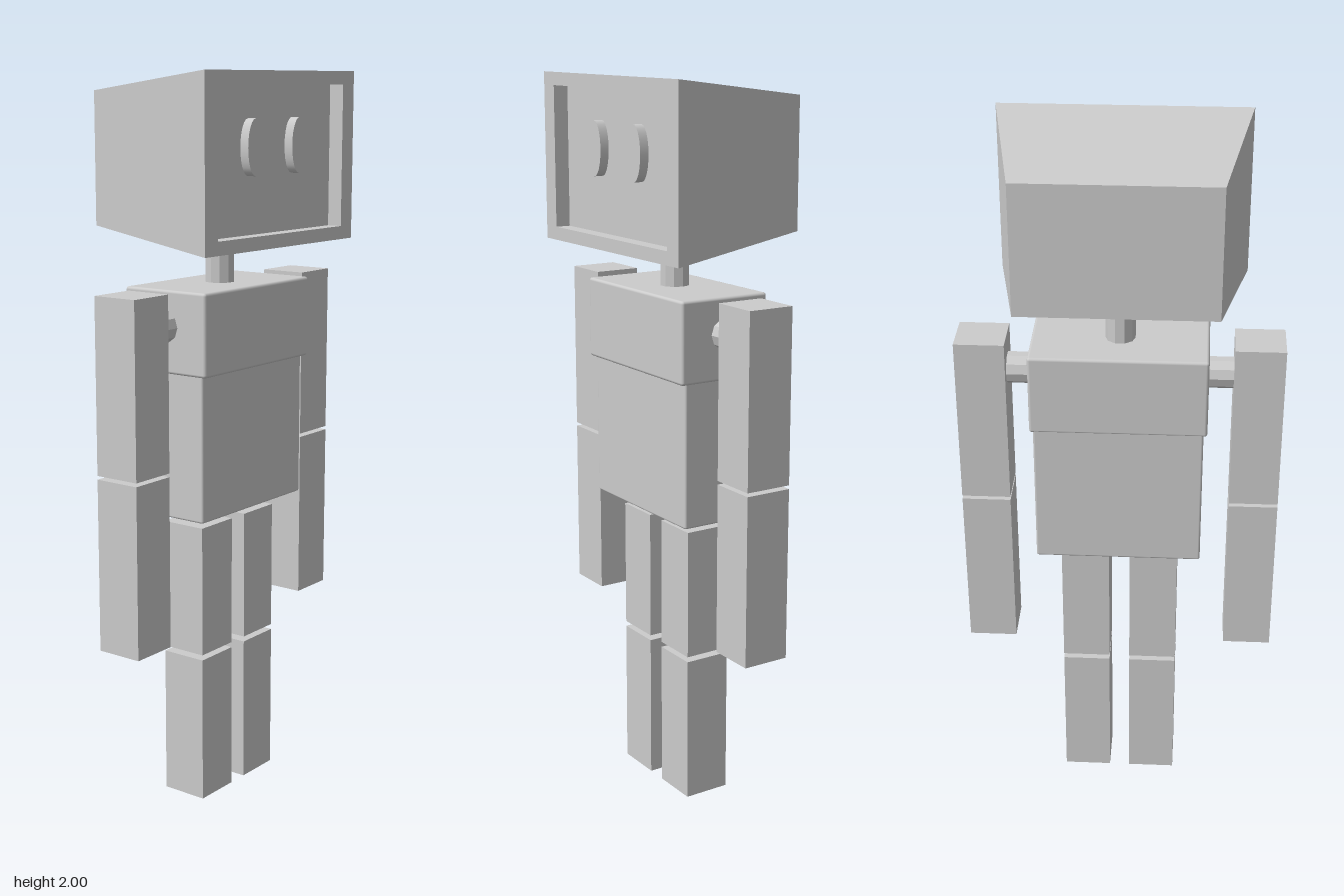
import * as THREE from 'three';
import { RoundedBoxGeometry } from 'three/addons/geometries/RoundedBoxGeometry.js';

const grey = new THREE.MeshStandardMaterial({ color: 0xcccccc });
const flat = new THREE.MeshStandardMaterial({ color: 0xcccccc, flatShading: true });

function add(parent, name, geometry, material, x, y, z) {
  const mesh = new THREE.Mesh(geometry, material);
  mesh.name = name;
  mesh.position.set(x, y, z);
  parent.add(mesh);
  return mesh;
}

// Box spanning y0..y1, with an optional small edge bevel
function block(parent, name, w, y0, y1, d, x, z, bevel = 0) {
  const h = y1 - y0;
  const geometry = bevel
    ? new RoundedBoxGeometry(w, h, d, 2, bevel)
    : new THREE.BoxGeometry(w, h, d);
  return add(parent, name, geometry, grey, x, (y0 + y1) / 2, z);
}

// Rectangular rings [x, halfDepth, y0, y1] joined in order and capped at both ends
function loftRects(rects) {
  const rings = rects.map(([x, z, y0, y1]) => [[x, y0, z], [x, y0, -z], [x, y1, -z], [x, y1, z]]);
  const positions = [];
  const quad = (a, b, c, d) => positions.push(...a, ...b, ...c, ...a, ...c, ...d);
  for (let r = 0; r < rings.length - 1; r++) {
    for (let i = 0; i < 4; i++) {
      const j = (i + 1) % 4;
      quad(rings[r][i], rings[r][j], rings[r + 1][j], rings[r + 1][i]);
    }
  }
  quad(...[...rings[0]].reverse());
  quad(...rings[rings.length - 1]);
  const geometry = new THREE.BufferGeometry();
  geometry.setAttribute('position', new THREE.Float32BufferAttribute(positions, 3));
  geometry.computeVertexNormals();
  return geometry;
}

export function createModel() {
  const model = new THREE.Group();
  model.name = 'robot';

  // Head: tapered box widening towards the face, with a recessed screen
  const head = new THREE.Group();
  head.name = 'head';
  model.add(head);
  add(head, 'headShell', loftRects([
    [-0.212, 0.26, 1.6, 1.95],
    [0.209, 0.333, 1.547, 2.0],
    [0.209, 0.28, 1.583, 1.965],
    [0.167, 0.28, 1.583, 1.965],
  ]), flat, 0, 0, 0);

  // Oval eyes standing out from the screen
  for (const side of [1, -1]) {
    const eye = new THREE.CylinderGeometry(1, 1, 0.03, 24).rotateZ(-Math.PI / 2);
    eye.scale(1, 0.073, 0.033);
    add(head, side > 0 ? 'leftEye' : 'rightEye', eye, grey, 0.177, 1.808, side * 0.098);
  }

  // Neck and torso
  add(model, 'neck', new THREE.CylinderGeometry(0.04, 0.04, 0.2, 10), flat, 0.002, 1.51, 0);
  block(model, 'chest', 0.268, 1.22, 1.442, 0.472, 0, 0, 0.008);
  block(model, 'belly', 0.25, 0.825, 1.235, 0.452, -0.008, 0, 0.006);

  // Arms and legs, mirrored across z
  for (const side of [1, -1]) {
    const arm = new THREE.Group();
    arm.name = side > 0 ? 'armA' : 'armB';
    const shoulder = new THREE.CylinderGeometry(0.0425, 0.0425, 0.12, 10);
    shoulder.rotateY(Math.PI / 2).rotateX(Math.PI / 2);
    add(arm, 'shoulderJoint', shoulder, flat, 0, 1.345, side * 0.27);
    block(arm, 'upperArm', 0.132, 0.972, 1.442, 0.134, 0, side * 0.369);
    block(arm, 'forearm', 0.132, 0.492, 0.962, 0.134, 0, side * 0.369);

    const leg = new THREE.Group();
    leg.name = side > 0 ? 'legA' : 'legB';
    block(leg, 'thigh', 0.132, 0.427, 0.79, 0.134, 0, side * 0.096);
    block(leg, 'shin', 0.132, 0, 0.412, 0.134, 0, side * 0.096);
    model.add(arm, leg);
  }

  return model;
}
